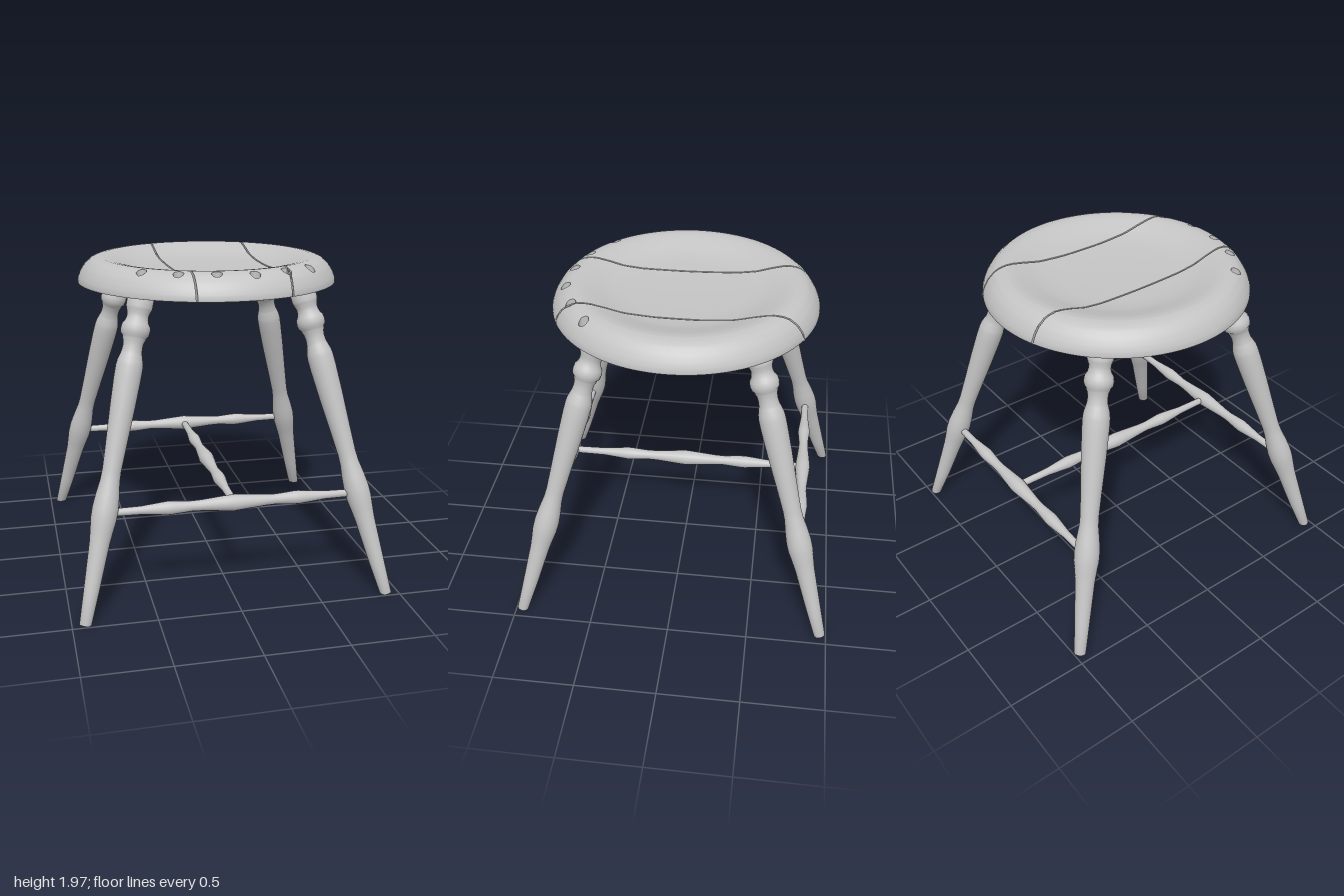
import * as THREE from 'three';

const wood = new THREE.MeshStandardMaterial({ color: 0xc4c4c4, side: THREE.DoubleSide });
wood.name = 'pale grey wood';

const R = 0.81;
const HOLE_R = 0.031;
const HOLES = [[-0.49, 0.52], [-0.3, 0.645], [-0.09, 0.7], [0.13, 0.71], [0.335, 0.635], [0.515, 0.52]];

// Seat section: [radius, height] from the centre outwards
const TOP = [[0, 1.9], [0.2, 1.902], [0.38, 1.91], [0.48, 1.925], [0.56, 1.952], [0.62, 1.968], [0.66, 1.973],
  [0.7, 1.967], [0.73, 1.955], [0.77, 1.92], [0.795, 1.88], [0.807, 1.85], [R, 1.832]];
const BOTTOM = [[0, 1.79], [0.4, 1.796], [0.65, 1.806], [0.78, 1.815], [R, 1.822]];

function heightAt(section, r) {
  for (let i = 1; i < section.length; i++) {
    const [r0, y0] = section[i - 1], [r1, y1] = section[i];
    if (r <= r1) return y0 + (y1 - y0) * (r - r0) / (r1 - r0);
  }
  return section[section.length - 1][1];
}

// Ring radii: coarse in the dish, fine around the rim and holes
const RINGS = [];
for (let i = 0; i < 14; i++) RINGS.push(0.6 * i / 14);
for (let i = 0; i <= 16; i++) RINGS.push(0.6 + 0.19 * i / 16);
RINGS.push(0.797, 0.803, 0.807, R);

// Joint lines between boards run slightly askew from back to front
const leftJoint = (z) => -0.24 + 0.025 * z;
const rightJoint = (z) => 0.358 - 0.01 * z;

// One seat board: a turned disc cut between two joint lines and pierced by the holes
function seatBoard(name, lo, hi) {
  const SEG = 264, pos = [], index = [], cut = [];
  const rows = [...RINGS.map((r) => [r, TOP]), ...[...RINGS].reverse().map((r) => [r, BOTTOM])];
  for (const [r, section] of rows) {
    for (let j = 0; j <= SEG; j++) {
      const a = 2 * Math.PI * (j % SEG) / SEG;
      let x = r * Math.cos(a), z = r * Math.sin(a), flag = false;
      for (const [hx, hz] of HOLES) {
        const d = Math.hypot(x - hx, z - hz);
        if (d < HOLE_R) {
          x = hx + (x - hx) * HOLE_R / (d || 1);
          z = hz + (z - hz) * HOLE_R / (d || 1);
          flag = true;
        }
      }
      const cx = Math.min(Math.max(x, lo(z)), hi(z));
      if (cx !== x) flag = true;
      pos.push(cx, heightAt(section, Math.hypot(cx, z)), z);
      cut.push(flag);
    }
  }
  const tri = (a, b, c) => { if (!(cut[a] && cut[b] && cut[c])) index.push(a, b, c); };
  for (let i = 0; i < rows.length - 1; i++) {
    for (let j = 0; j < SEG; j++) {
      const a = i * (SEG + 1) + j, b = a + SEG + 1;
      tri(a, a + 1, b);
      tri(a + 1, b + 1, b);
    }
  }
  const geo = new THREE.BufferGeometry();
  geo.setAttribute('position', new THREE.Float32BufferAttribute(pos, 3));
  geo.setIndex(index);
  geo.computeVertexNormals();
  const mesh = new THREE.Mesh(geo, wood);
  mesh.name = name;
  return mesh;
}

// Upright face of a board along a joint
function jointFace(name, line) {
  const N = 80, geo = new THREE.PlaneGeometry(1, 1, N, 1), p = geo.attributes.position;
  for (let i = 0; i < p.count; i++) {
    const t = p.getX(i) * 2;
    const z = t * Math.sqrt(R * R - line(0) ** 2) * 0.998;
    const x = line(z);
    p.setXYZ(i, x, heightAt(p.getY(i) > 0 ? TOP : BOTTOM, Math.hypot(x, z)), z);
  }
  geo.computeVertexNormals();
  const mesh = new THREE.Mesh(geo, wood);
  mesh.name = name;
  return mesh;
}

// Inner wall of a hole, trimmed to the seat surfaces
function holeWall([hx, hz]) {
  const geo = new THREE.CylinderGeometry(HOLE_R, HOLE_R, 1, 20, 1, true), p = geo.attributes.position;
  for (let i = 0; i < p.count; i++) {
    const x = hx + p.getX(i), z = hz + p.getZ(i);
    p.setXYZ(i, x, heightAt(p.getY(i) > 0 ? TOP : BOTTOM, Math.hypot(x, z)), z);
  }
  const mesh = new THREE.Mesh(geo, wood);
  mesh.name = 'holeWall';
  return mesh;
}

const lathe = (points, sides) =>
  new THREE.LatheGeometry(points.map(([r, y]) => new THREE.Vector2(r, y)), sides);

// Turned leg: [radius, height] from foot to top
const LEG = [[0, -0.005], [0.037, -0.005], [0.047, 0.2], [0.06, 0.45], [0.068, 0.52], [0.076, 0.58], [0.077, 0.64],
  [0.07, 0.71], [0.058, 0.79], [0.056, 0.85], [0.063, 1.0], [0.074, 1.2], [0.08, 1.36], [0.08, 1.42],
  [0.076, 1.45], [0.064, 1.49], [0.061, 1.5], [0.058, 1.53], [0.062, 1.56], [0.069, 1.575], [0.07, 1.585],
  [0.083, 1.6], [0.087, 1.625], [0.083, 1.65], [0.07, 1.668], [0.064, 1.69], [0.064, 1.71], [0.073, 1.735],
  [0.078, 1.75], [0.079, 1.84], [0, 1.84]];

function leg(sx, sz) {
  const foot = new THREE.Vector3(0.92 * sx, 0, 0.958 * sz);
  const axis = new THREE.Vector3(0.49 * sx, 1.8, 0.468 * sz).sub(foot);
  const stretch = axis.length() / 1.8;
  const geo = lathe(LEG.map(([r, y]) => [r, y * stretch]), 24);
  geo.applyQuaternion(new THREE.Quaternion().setFromUnitVectors(new THREE.Vector3(0, 1, 0), axis.normalize()));
  geo.translate(foot.x, foot.y, foot.z);
  // Foot sits flat on the floor
  const p = geo.attributes.position;
  for (let i = 0; i < p.count; i++) p.setY(i, Math.max(0, p.getY(i)));
  const mesh = new THREE.Mesh(geo, wood);
  mesh.name = (sz > 0 ? 'front' : 'back') + (sx > 0 ? 'Left' : 'Right') + 'Leg';
  return mesh;
}

// Turned rail with three swellings, along the y axis
function rail(name, half) {
  const side = [[0.05, 0], [0.046, 0.05], [0.033, 0.2], [0.031, 0.26], [0.04, 0.37], [0.041, 0.4], [0.036, 0.45],
    [0.025, 0.56], [0.022, half], [0, half]];
  const lower = side.slice(1).reverse().map(([r, y]) => [r, -y]);
  const mesh = new THREE.Mesh(lathe([...lower, ...side], 16), wood);
  mesh.name = name;
  return mesh;
}

export function createModel() {
  const stool = new THREE.Group();
  stool.name = 'stool';

  // Seat of three boards with narrow gaps
  const seat = new THREE.Group();
  seat.name = 'seat';
  const gap = 0.005, shift = (line, d) => (z) => line(z) + d;
  const edges = [shift(leftJoint, -gap), shift(leftJoint, gap), shift(rightJoint, -gap), shift(rightJoint, gap)];
  seat.add(seatBoard('rightBoard', () => -1, edges[0]));
  seat.add(seatBoard('middleBoard', edges[1], edges[2]));
  seat.add(seatBoard('leftBoard', edges[3], () => 1));
  edges.forEach((e) => seat.add(jointFace('jointFace', e)));
  HOLES.forEach((h) => seat.add(holeWall(h)));
  stool.add(seat);

  for (const sz of [1, -1]) {
    for (const sx of [1, -1]) stool.add(leg(sx, sz));
    // Rails between the left and right legs
    const r = rail(sz > 0 ? 'frontRail' : 'backRail', 0.76);
    r.rotation.z = Math.PI / 2;
    r.position.set(0, 0.61, 0.79 * sz);
    stool.add(r);
  }

  // Cross rail joining the other two
  const cross = rail('crossRail', 0.78);
  cross.rotation.x = Math.PI / 2;
  cross.position.y = 0.61;
  stool.add(cross);
  return stool;
}
